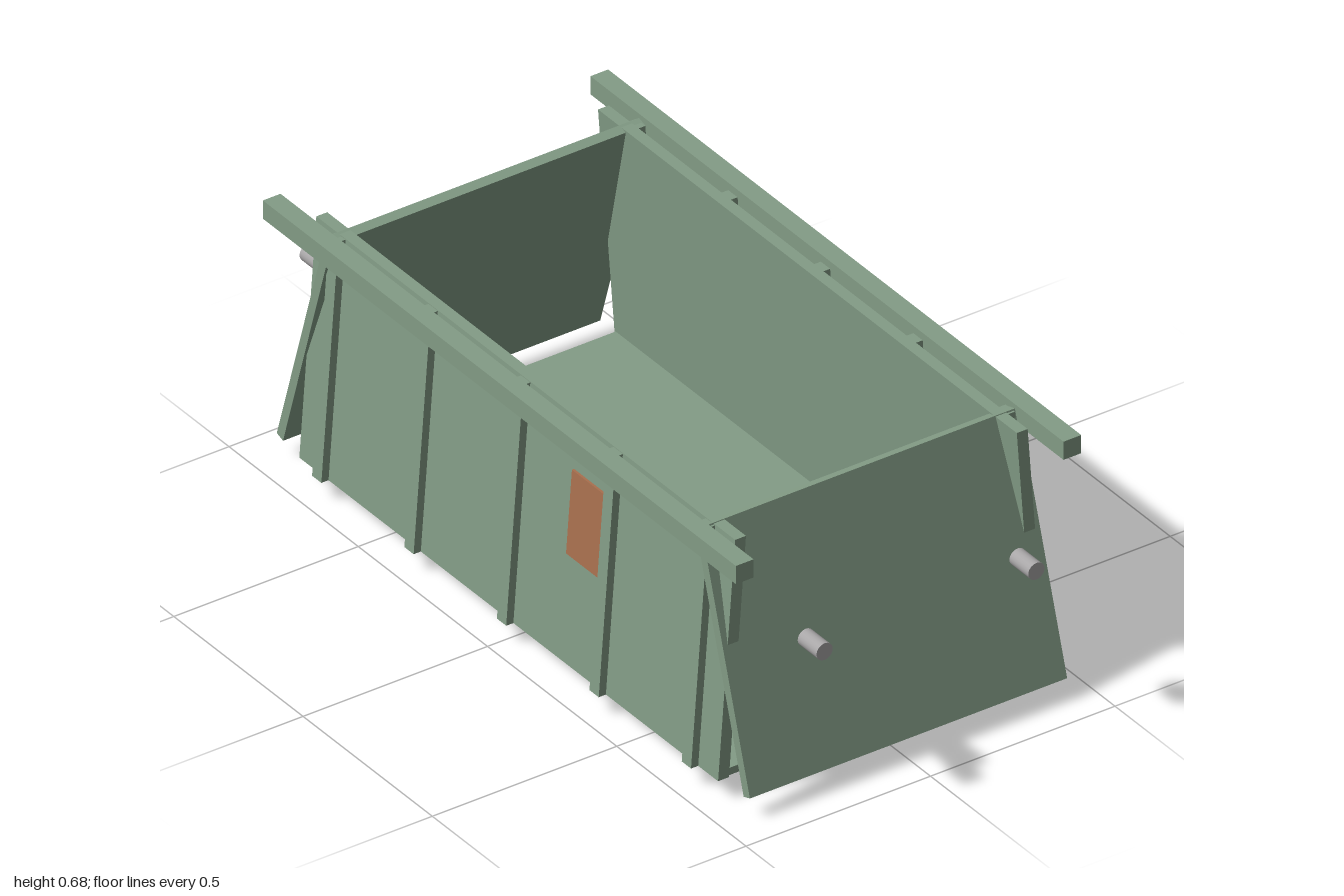
import * as THREE from 'three';

const green = new THREE.MeshStandardMaterial({ name: 'sage green paint', color: 0x839c86 });
const grey = new THREE.MeshStandardMaterial({ name: 'grey metal', color: 0xa9a7a8 });
const rust = new THREE.MeshStandardMaterial({ name: 'rust orange', color: 0xa9704e });

export function createModel() {
  const root = new THREE.Group();
  root.name = 'openContainer';

  const add = (name, geometry, material, x = 0, y = 0, z = 0) => {
    const mesh = new THREE.Mesh(geometry, material);
    mesh.name = name;
    mesh.position.set(x, y, z);
    root.add(mesh);
    return mesh;
  };
  const box = (name, w, y0, y1, d, material, z = 0) =>
    add(name, new THREE.BoxGeometry(w, y1 - y0, d), material, 0, (y0 + y1) / 2, z);

  // Extrude an outline along z, centred; side mirrors the outline
  const prism = (points, length, side) => {
    const shape = new THREE.Shape(points.map(([a, b]) => new THREE.Vector2(a * side, b)));
    return new THREE.ExtrudeGeometry(shape, { depth: length, bevelEnabled: false })
      .translate(0, 0, -length / 2);
  };
  // The same for a (z, y) outline extruded along x
  const prismX = (points, length, side) => prism(points, length, side).rotateY(-Math.PI / 2);

  // Base and floor
  box('basePad', 1.33, 0, 0.03, 0.67, grey);
  box('basePlate', 1.42, 0.03, 0.052, 0.764, green);
  box('floor', 1.61, 0.051, 0.07, 0.84, green);

  // Outward-leaning long walls, their ribs and top rails
  const wallOuter = (y) => 0.4426 - (y - 0.05) * 0.0745;
  const wallProfile = [[0.413, 0.05], [0.4426, 0.05], [wallOuter(0.67), 0.67], [0.367, 0.67]];
  const ribProfile = [[0.43, 0.05], [0.462, 0.05], [0.416, 0.668], [0.385, 0.668]];
  for (const side of [1, -1]) {
    const place = side > 0 ? 'front' : 'back';
    add(place + 'Wall', prismX(wallProfile, 1.62, side), green);
    for (const x of [-0.715, -0.358, 0, 0.358, 0.715])
      add(place + 'Rib', prismX(ribProfile, 0.036, side), green, x);
    box(place + 'Rail', 1.83, 0.635, 0.683, 0.048, green, side * 0.444);
  }

  // Sloping end panels and their pins
  const endProfile = [[0.891, 0.047], [0.915, 0.055], [0.727, 0.672], [0.703, 0.665]];
  for (const side of [1, -1]) {
    const place = side > 0 ? 'left' : 'right';
    add(place + 'EndPanel', prism(endProfile, 0.86, side), green);
    for (const z of [-0.287, 0.287]) {
      const pin = new THREE.CylinderGeometry(0.022, 0.022, 0.073, 20).rotateZ(Math.PI / 2);
      add(place + 'Pin', pin, grey, side * 0.9635, 0.435, z);
    }
  }

  // Thin plate following the slope of the front wall
  const plateProfile = [
    [wallOuter(0.325), 0.325], [wallOuter(0.325) + 0.006, 0.325],
    [wallOuter(0.54) + 0.006, 0.54], [wallOuter(0.54), 0.54],
  ];
  add('frontPlate', prismX(plateProfile, 0.135, 1), rust, 0.2685);

  return root;
}
